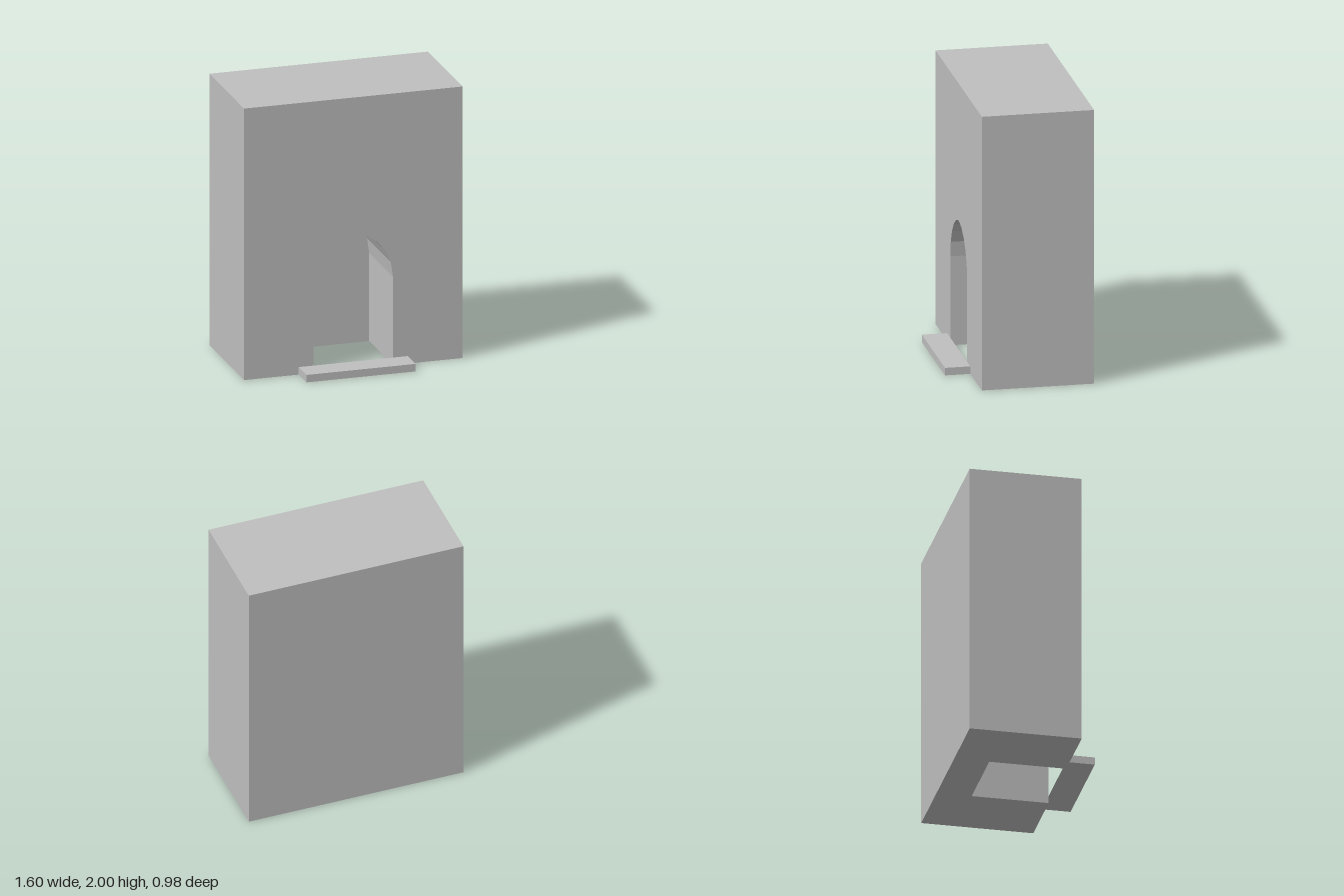
import * as THREE from 'three';

const W = 0.8, H = 2, FRONT = 0.31, BACK = -0.49, NICHE = -0.24, R = 0.29;

// Left half of the pointed arch, from the floor to the tip
const half = [[-R, 0], [-R, 0.65], [-0.275, 0.76], [-0.233, 0.85], [-0.175, 0.92], [-0.095, 0.975], [0, 1]];
const arch = [...half, ...half.slice(0, -1).reverse().map(([x, y]) => [-x, y])];

const toShape = (pts) => new THREE.Shape(pts.map(([x, y]) => new THREE.Vector2(x, y)));

// Box with chosen sides only (0 +x, 1 -x, 2 +y, 3 -y, 4 +z, 5 -z)
function openBox(w, h, d, sides) {
  const g = new THREE.BoxGeometry(w, h, d);
  const index = Array.from(g.index.array);
  g.setIndex(sides.flatMap((s) => index.slice(s * 6, s * 6 + 6)));
  g.clearGroups();
  return g;
}

// Walls of the recess, one flat strip per arch segment
function liner() {
  const pos = [];
  for (let i = 0; i < arch.length - 1; i++) {
    const [ax, ay] = arch[i], [bx, by] = arch[i + 1];
    pos.push(ax, ay, FRONT, ax, ay, NICHE, bx, by, NICHE);
    pos.push(ax, ay, FRONT, bx, by, NICHE, bx, by, FRONT);
  }
  const g = new THREE.BufferGeometry();
  g.setAttribute('position', new THREE.Float32BufferAttribute(pos, 3));
  g.computeVertexNormals();
  return g;
}

export function createModel() {
  const model = new THREE.Group();
  model.name = 'archedNicheBlock';
  const stone = new THREE.MeshStandardMaterial({ color: 0xbfbfbf, side: THREE.DoubleSide });
  stone.name = 'grey stone';

  const add = (name, geometry, x = 0, y = 0, z = 0) => {
    const mesh = new THREE.Mesh(geometry, stone);
    mesh.name = name;
    mesh.position.set(x, y, z);
    model.add(mesh);
    return mesh;
  };

  // Outer block: sides, top and back
  add('outerWalls', openBox(2 * W, H, FRONT - BACK, [0, 1, 2, 5]), 0, H / 2, (FRONT + BACK) / 2);

  // Front wall with the arched doorway cut out
  add('frontWall', new THREE.ShapeGeometry(toShape([[-W, 0], ...arch, [W, 0], [W, H], [-W, H]])), 0, 0, FRONT);

  // Underside, open below the recess (shape y becomes z)
  const base = new THREE.ShapeGeometry(toShape([
    [-W, BACK], [W, BACK], [W, FRONT], [R, FRONT], [R, NICHE], [-R, NICHE], [-R, FRONT], [-W, FRONT],
  ]));
  add('underside', base.rotateX(Math.PI / 2));

  // Recess
  add('nicheWalls', liner());
  add('nicheBack', new THREE.ShapeGeometry(toShape(arch)), 0, 0, NICHE);

  // Doorstep, open where it meets the wall
  add('doorstep', openBox(0.8, 0.055, 0.18, [0, 1, 2, 3, 4]), 0, 0.0275, 0.4);

  return model;
}
